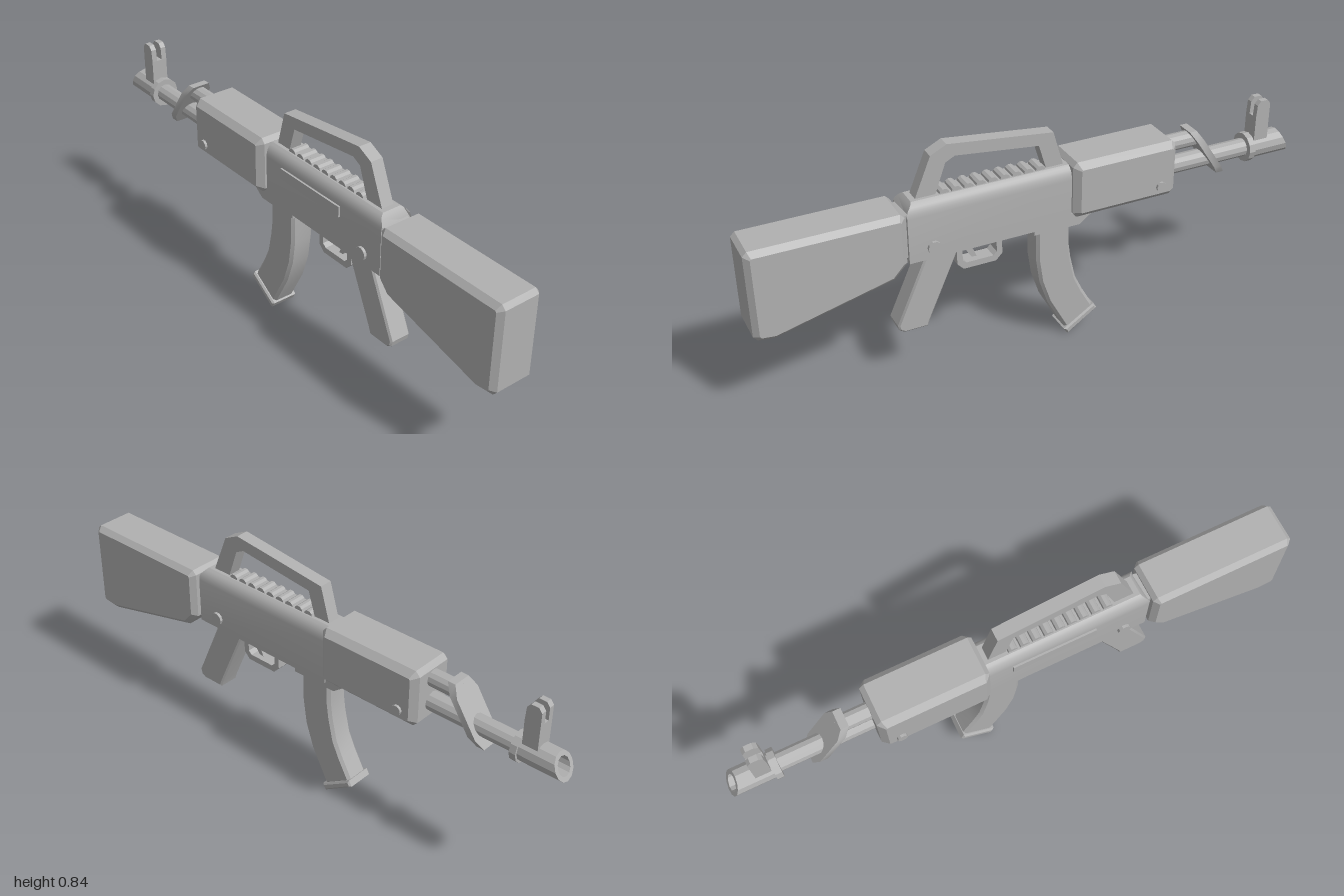
import * as THREE from 'three';
import { toCreasedNormals } from 'three/addons/utils/BufferGeometryUtils.js';

export function createModel() {
  const group = new THREE.Group();
  const grey = new THREE.MeshStandardMaterial({ color: 0xb0b0b0 });
  grey.name = 'matte grey';

  const add = (name, geometry) => {
    const mesh = new THREE.Mesh(toCreasedNormals(geometry, 0.5), grey);
    mesh.name = name;
    group.add(mesh);
    return mesh;
  };
  const vec = ([z, y]) => new THREE.Vector2(-z, y);

  // Extrudes a side profile of [z, y] points across x, with chamfered edges
  const side = (name, profile, halfWidth, bevel = 0, hole = null, x = 0) => {
    const shape = new THREE.Shape(profile.map(vec));
    if (hole) shape.holes.push(new THREE.Path(hole.map(vec)));
    const depth = 2 * (halfWidth - bevel);
    const g = new THREE.ExtrudeGeometry(shape, {
      depth, bevelEnabled: bevel > 0, bevelSize: bevel, bevelThickness: bevel,
      bevelOffset: -bevel, bevelSegments: 1,
    });
    g.translate(0, 0, -depth / 2).rotateY(Math.PI / 2).translate(x, 0, 0);
    return add(name, g);
  };
  // Round bar along z
  const barZ = (name, r, y, z0, z1, sides = 12) => add(name,
    new THREE.CylinderGeometry(r, r, Math.abs(z1 - z0), sides)
      .rotateX(Math.PI / 2).translate(0, y, (z0 + z1) / 2));
  // Round bar along x
  const barX = (name, r, length, y, z, sides) => add(name,
    new THREE.CylinderGeometry(r, r, length, sides)
      .rotateZ(Math.PI / 2).translate(0, y, z));

  // Shoulder stock and its neck
  side('stock', [[0.985, 0.655], [1, 0.64], [1, 0.35], [0.985, 0.333], [0.93, 0.327],
    [0.53, 0.425], [0.485, 0.475], [0.485, 0.64], [0.5, 0.655]], 0.084, 0.018);
  side('stockNeck', [[0.5, 0.63], [0.5, 0.485], [0.46, 0.48], [0.46, 0.64]], 0.05);

  // Receiver: rounded top cross-section run along z
  const section = new THREE.Shape();
  section.moveTo(-0.061, 0.463).lineTo(0.061, 0.463).lineTo(0.061, 0.625);
  section.quadraticCurveTo(0.059, 0.66, 0.035, 0.672).lineTo(-0.035, 0.672);
  section.quadraticCurveTo(-0.059, 0.66, -0.061, 0.625);
  const receiver = new THREE.ExtrudeGeometry(section,
    { depth: 0.58, bevelEnabled: false, curveSegments: 5 }).translate(0, 0, -0.105);
  const rp = receiver.attributes.position;
  for (let i = 0; i < rp.count; i++) { // slope the upper rear edge
    if (rp.getZ(i) > 0.4) rp.setZ(i, 0.475 - Math.max(0, rp.getY(i) - 0.645) * 0.9);
  }
  add('receiver', receiver);
  side('magazineWell', [[0.03, 0.48], [0.03, 0.445], [-0.14, 0.445], [-0.18, 0.475],
    [-0.18, 0.5]], 0.056);
  side('ejectionCover', [[0.28, 0.62], [0.28, 0.582], [-0.02, 0.582], [-0.02, 0.62]],
    0.004, 0, null, -0.064);
  barX('receiverPin', 0.023, 0.142, 0.505, 0.39, 10);

  // Carry handle and ribbed rail
  side('carryHandle', [[0.435, 0.665], [0.375, 0.81], [0.318, 0.838], [-0.055, 0.795],
    [-0.092, 0.665], [-0.03, 0.665], [-0.002, 0.758], [0.292, 0.792], [0.325, 0.775],
    [0.365, 0.665]], 0.023);
  for (let i = 0; i < 9; i++) barX('railRib', 0.018, 0.06, 0.669, 0.335 - i * 0.0425, 10);

  // Handguard and cross pin
  side('handguard', [[-0.105, 0.673], [-0.12, 0.69], [-0.48, 0.69], [-0.497, 0.673],
    [-0.497, 0.502], [-0.48, 0.485], [-0.12, 0.485], [-0.105, 0.502]], 0.09, 0.022);
  barX('handguardPin', 0.018, 0.198, 0.535, -0.432, 10);

  // Barrel, gas tube and collar
  barZ('barrel', 0.033, 0.553, -0.48, -0.84);
  barZ('gasTube', 0.03, 0.64, -0.48, -0.61);
  barZ('muzzleCollar', 0.053, 0.553, -0.822, -0.845);

  // Slanted plate joining tube and barrel
  const plateShape = new THREE.Shape([[-0.033, 0.495], [0.033, 0.495], [0.052, 0.53],
    [0.052, 0.645], [0.033, 0.68], [-0.033, 0.68], [-0.052, 0.645], [-0.052, 0.53]]
    .map(([x, y]) => new THREE.Vector2(x, y)));
  const plate = new THREE.ExtrudeGeometry(plateShape, { depth: 0.028, bevelEnabled: false });
  const pp = plate.attributes.position;
  for (let i = 0; i < pp.count; i++) {
    pp.setZ(i, pp.getZ(i) - 0.664 + (pp.getY(i) - 0.5875) * 0.66);
  }
  add('slantedPlate', plate);

  // Hollow muzzle with an oblique mouth
  const muzzle = new THREE.LatheGeometry([[0, 0.84], [0.045, 0.84], [0.045, 0.98],
    [0.03, 0.98], [0.03, 0.9], [0, 0.9]].map(([r, y]) => new THREE.Vector2(r, y)), 12);
  muzzle.rotateX(-Math.PI / 2);
  const mp = muzzle.attributes.position;
  for (let i = 0; i < mp.count; i++) {
    if (mp.getZ(i) < -0.95) mp.setZ(i, -0.98 + mp.getY(i) * 0.444);
  }
  add('muzzle', muzzle.translate(0, 0.553, 0));

  // Forked front sight
  side('sightPost', [[-0.85, 0.57], [-0.905, 0.57], [-0.905, 0.675], [-0.85, 0.675]], 0.03);
  for (const s of [-1, 1]) {
    side('sightProng', [[-0.85, 0.675], [-0.905, 0.675], [-0.905, 0.72], [-0.893, 0.735],
      [-0.866, 0.735], [-0.853, 0.72]], 0.01, 0, null, s * 0.02);
  }

  // Pistol grip
  side('pistolGrip', [[0.405, 0.475], [0.52, 0.22], [0.515, 0.2], [0.497, 0.19],
    [0.415, 0.19], [0.406, 0.215], [0.29, 0.475]], 0.04, 0.006);

  // Trigger guard and trigger
  side('triggerGuard', [[0.298, 0.47], [0.298, 0.392], [0.275, 0.368], [0.158, 0.368],
    [0.135, 0.392], [0.135, 0.47]], 0.026, 0,
  [[0.278, 0.46], [0.278, 0.402], [0.265, 0.39], [0.168, 0.39], [0.155, 0.402], [0.155, 0.46]]);
  side('trigger', [[0.262, 0.47], [0.258, 0.425], [0.24, 0.398], [0.222, 0.396],
    [0.236, 0.43], [0.232, 0.47]], 0.012);

  // Curved magazine and its base plate
  side('magazine', [[0.013, 0.46], [0.013, 0.33], [0, 0.24], [-0.03, 0.15], [-0.1, 0.018],
    [-0.208, 0.088], [-0.165, 0.165], [-0.137, 0.225], [-0.118, 0.31], [-0.11, 0.37],
    [-0.11, 0.46]], 0.043, 0.01);
  side('magazineBase', [[-0.09, 0.022], [-0.104, 0], [-0.219, 0.076], [-0.207, 0.097]],
    0.052, 0.006);

  return group;
}
